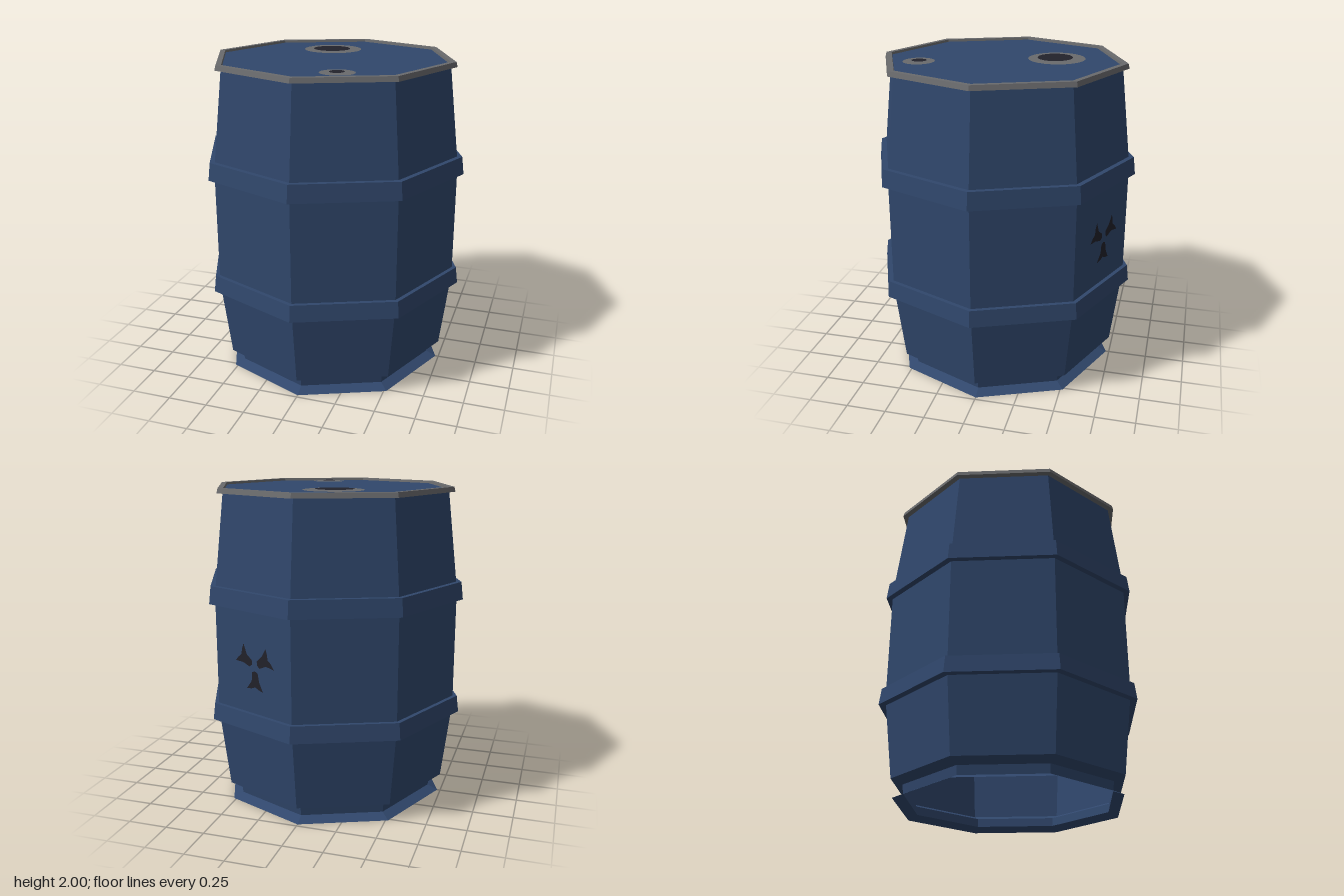
import * as THREE from 'three';

export function createModel() {
  const barrel = new THREE.Group();
  barrel.name = 'barrel';

  const paint = (name, color) => {
    const m = new THREE.MeshStandardMaterial({ color, side: THREE.DoubleSide });
    m.name = name;
    return m;
  };
  const blue = paint('blue paint', 0x30476c);
  const grey = paint('grey metal', 0x6a6b6d);
  const black = paint('black', 0x22222b);

  const add = (name, geometry, material, parent = barrel) => {
    const mesh = new THREE.Mesh(geometry, material);
    mesh.name = name;
    parent.add(mesh);
    return mesh;
  };

  // Eight-sided faceted lathe with corners on the x and z axes
  const octagonLathe = (profile) => {
    const g = new THREE.LatheGeometry(profile.map(([r, y]) => new THREE.Vector2(r, y)), 8).toNonIndexed();
    g.computeVertexNormals();
    return g;
  };

  // Shell, open underneath: foot flange, two raised hoops, tapered ends
  add('shell', octagonLathe([
    [0.73, 0], [0.665, 0.03], [0.672, 0.085], [0.745, 0.115],
    [0.802, 0.57], [0.848, 0.57], [0.835, 0.675], [0.808, 0.675],
    [0.808, 1.31], [0.848, 1.31], [0.835, 1.42], [0.802, 1.42],
    [0.738, 1.97],
  ]), blue);

  // Top rim and lid
  add('rim', octagonLathe([
    [0.738, 1.97], [0.776, 1.97], [0.768, 2], [0.733, 2], [0.73, 1.985],
  ]), grey);
  const lid = add('lid', new THREE.CircleGeometry(0.735, 8), blue);
  lid.rotation.x = -Math.PI / 2;
  lid.position.y = 1.985;

  // Flat bungs: grey collar around a dark opening
  const disc = (name, x, z, y, rx, rz, material) => {
    const d = add(name, new THREE.CircleGeometry(1, 24), material);
    d.rotation.x = -Math.PI / 2;
    d.scale.set(rx, rz, 1);
    d.position.set(x, y, z);
  };
  disc('largeBungCollar', -0.102, -0.317, 1.99, 0.187, 0.178, grey);
  disc('largeBungOpening', -0.106, -0.306, 1.995, 0.12, 0.11, black);
  disc('smallBungCollar', 0.18, 0.488, 1.99, 0.105, 0.098, grey);
  disc('smallBungOpening', 0.177, 0.486, 1.995, 0.045, 0.047, black);

  // Three-bladed warning mark on one rear panel
  const mark = new THREE.Group();
  mark.name = 'warningMark';
  mark.rotation.y = Math.PI * 7 / 8;
  barrel.add(mark);
  const blade = new THREE.Shape([
    [0, -0.025], [-0.022, -0.035], [-0.028, -0.09], [-0.07, -0.143], [-0.03, -0.138], [0, -0.125],
    [0.03, -0.138], [0.065, -0.145], [0.035, -0.09], [0.024, -0.035],
  ].map(([x, y]) => new THREE.Vector2(x, y)));
  for (let i = 0; i < 3; i++) {
    const b = add('warningBlade', new THREE.ShapeGeometry(blade), black, mark);
    b.position.set(0.02, 0.97, 0.808 * Math.cos(Math.PI / 8) + 0.004);
    b.rotation.z = i * Math.PI * 2 / 3;
  }

  return barrel;
}
